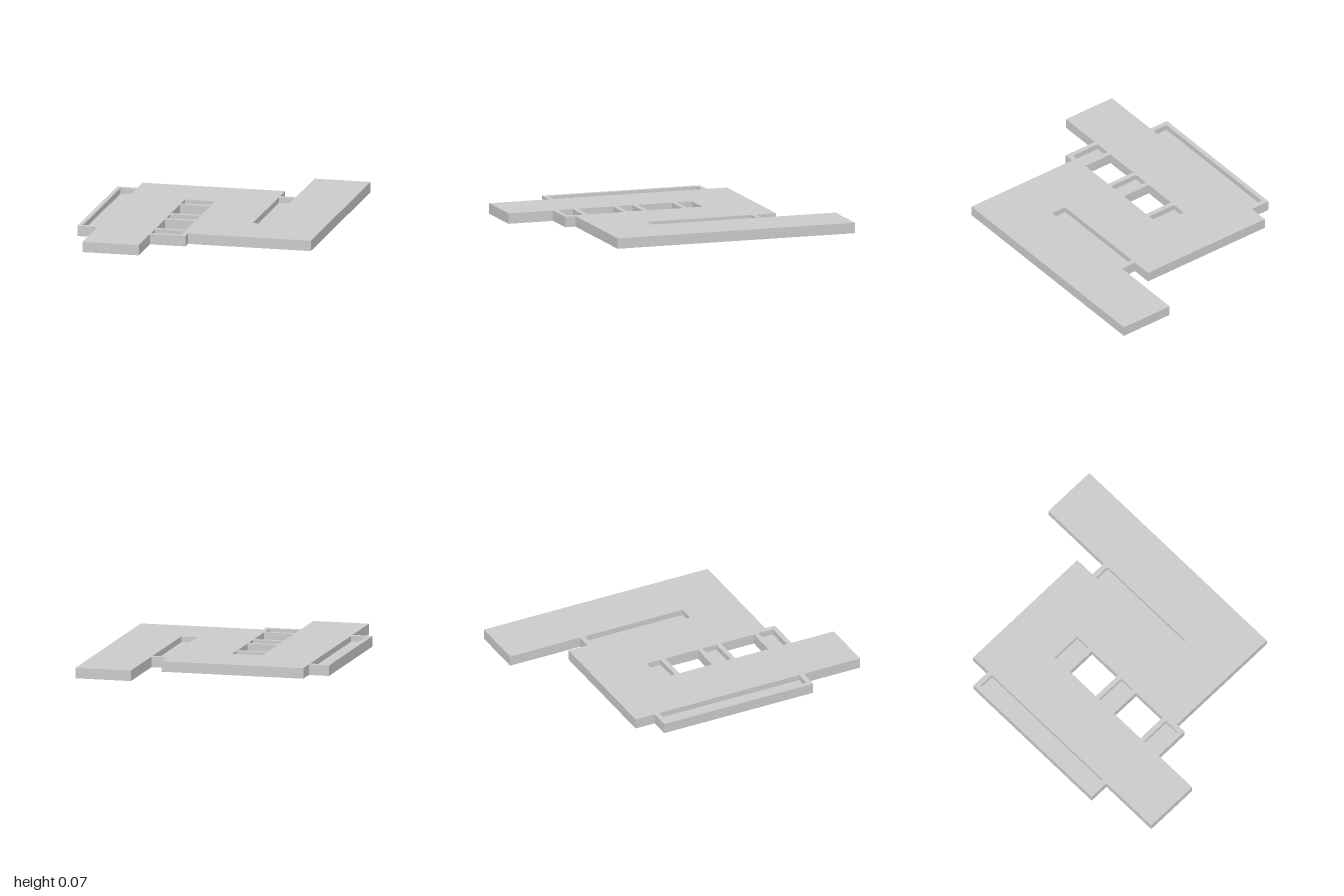
import * as THREE from 'three';

const HEIGHT = 0.069;
const FLOOR = 0.031; // level of the pocket floors

// Plan outline as [x, z], shared by both layers
const OUTLINE = [
  [-0.645, -0.63], [0.303, -0.63], [0.303, -0.492], [0.408, -0.492],
  [0.408, -1], [0.78, -1], [0.78, 0.625], [-0.037, 0.625],
  [-0.037, 0.694], [-0.272, 0.694], [-0.272, 1], [-0.645, 1],
  [-0.645, 0.59], [-0.78, 0.59], [-0.78, -0.492], [-0.645, -0.492],
];

// Rectangles as [x0, x1, z0, z1]
const WINDOWS = [
  [-0.272, -0.07, -0.12, 0.117],
  [-0.272, -0.07, 0.284, 0.525],
];
const POCKETS = [
  [-0.75, -0.645, -0.458, 0.557], // long side trough
  [0.303, 0.408, -0.458, 0.253], // short side trough
  [-0.272, -0.07, -0.257, -0.153], // three small trays
  [-0.272, -0.07, 0.149, 0.253],
  [-0.272, -0.07, 0.558, 0.662],
];

const toPoints = (list) => list.map(([x, z]) => new THREE.Vector2(x, -z));

// Extrudes the outline, pierced by rectangles, between two heights
function layer(name, y0, y1, openings, material) {
  const shape = new THREE.Shape(toPoints(OUTLINE));
  // Openings wind opposite to the outline so their walls face inwards
  for (const [x0, x1, z0, z1] of openings) {
    shape.holes.push(new THREE.Path(toPoints([[x0, z0], [x0, z1], [x1, z1], [x1, z0]])));
  }
  const geometry = new THREE.ExtrudeGeometry(shape, { depth: y1 - y0, bevelEnabled: false });
  geometry.rotateX(-Math.PI / 2);
  geometry.translate(0, y0, 0);
  const mesh = new THREE.Mesh(geometry, material);
  mesh.name = name;
  return mesh;
}

export function createModel() {
  const group = new THREE.Group();
  group.name = 'recessedPlate';
  const material = new THREE.MeshStandardMaterial({ color: 0xcccccc, flatShading: true });
  // Base closes the pockets; only the windows go right through
  group.add(layer('basePlate', 0, FLOOR, WINDOWS, material));
  group.add(layer('pocketedTopPlate', FLOOR, HEIGHT, [...WINDOWS, ...POCKETS], material));
  return group;
}
